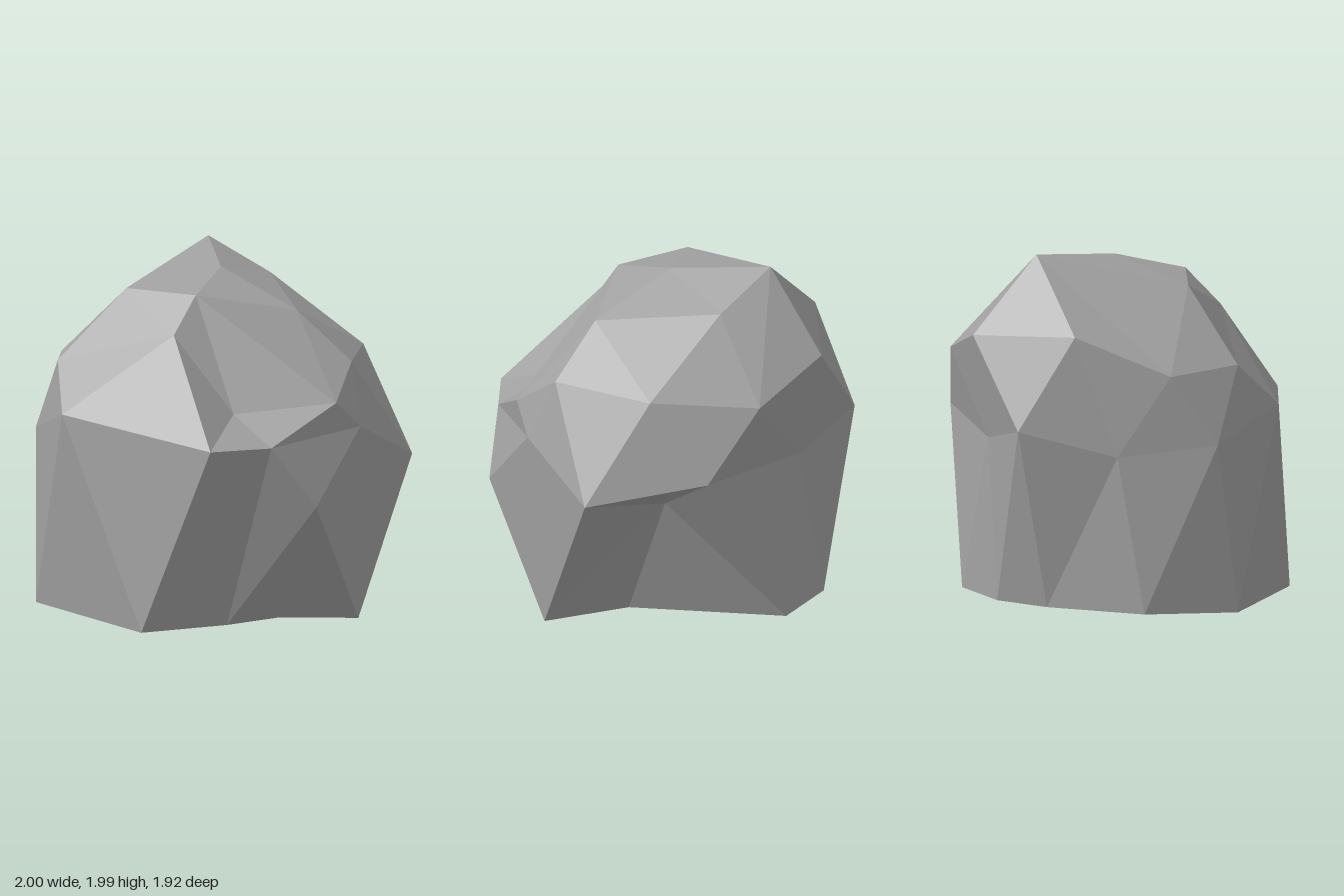
import * as THREE from 'three';

// Faceted boulder: irregular horizontal rings, running from the front towards +x,
// stitched together with triangle strips.
const base = [
  [-0.18, 0, 0.9], [0.21, 0.01, 0.56], [0.42, 0.015, 0.25], [0.83, 0.01, 0.11], [0.4, 0.025, -0.13],
  [0, 0.075, -0.94], [-0.4, 0.08, -0.86], [-0.65, 0.08, -0.65], [-0.99, 0.08, -0.19], [-0.96, 0.05, 0.36],
];
const waist = [
  [0.24, 1.04, 0.96], [0.52, 1.04, 0.73], [0.74, 0.7, 0.6], [1, 0.87, -0.34], [0.48, 0.77, -0.47],
  [0.54, 1, -0.84], [-0.2, 0.96, -0.85], [-0.69, 1.09, -0.83], [-0.87, 0.95, -0.31], [-1, 1.01, 0.23], [-0.71, 1.16, 0.67],
];
const shoulder = [
  [-0.11, 1.61, 0.52], [0.245, 1.19, 0.55], [0.78, 1.25, 0.36], [0.87, 1.1, 0.2], [0.78, 1.44, 0.075], [0.66, 1.44, -0.52],
  [0.22, 1.39, -0.94], [-0.27, 1.56, -0.96], [-0.72, 1.61, -0.51], [-0.93, 1.4, -0.02], [-0.82, 1.42, 0.4],
];
const crown = [
  [-0.04, 1.81, 0.34], [0.46, 1.71, 0.065], [0.11, 1.81, -0.55], [-0.26, 1.99, -0.59], [-0.48, 1.81, 0.22],
];
const crownCentre = [-0.02, 1.91, -0.06];

// Stitch two closed rings; each letter advances the lower (l) or upper (u) ring by one point.
function stitch(lower, upper, steps) {
  const triangles = [];
  let i = 0, j = 0;
  for (const step of steps) {
    const a = lower[i % lower.length], b = upper[j % upper.length];
    if (step === 'l') triangles.push([a, lower[++i % lower.length], b]);
    else triangles.push([a, upper[++j % upper.length], b]);
  }
  return triangles;
}

// Fill a ring with triangles around one point.
function fan(centre, ring) {
  return ring
    .map((p, i) => [centre, p, ring[(i + 1) % ring.length]])
    .filter(([c, p, q]) => c !== p && c !== q);
}

const without = (ring, index) => ring.filter((_, i) => i !== index);

export function createModel() {
  const stone = new THREE.MeshStandardMaterial({ color: 0xa0a0a0, flatShading: true });
  stone.name = 'grey stone';

  const triangles = [
    // underside
    ...fan(base[8], [...base].reverse()),
    // sides
    ...stitch(base, waist, 'luulluulluulululululu'),
    // overhang under the back right ledge
    [waist[3], waist[4], waist[5]],
    ...stitch(without(waist, 4), shoulder, 'uluulluululululululul'),
    // small facet on the right shoulder
    [shoulder[2], shoulder[3], shoulder[4]],
    // upper slopes and top
    ...stitch(without(shoulder, 3), crown, 'llullululllullu'),
    ...fan(crownCentre, crown),
  ];

  const geometry = new THREE.BufferGeometry();
  geometry.setAttribute('position', new THREE.Float32BufferAttribute(triangles.flat(2), 3));
  geometry.computeVertexNormals();

  const boulder = new THREE.Mesh(geometry, stone);
  boulder.name = 'boulder';
  const group = new THREE.Group();
  group.name = 'rock';
  group.add(boulder);
  return group;
}
